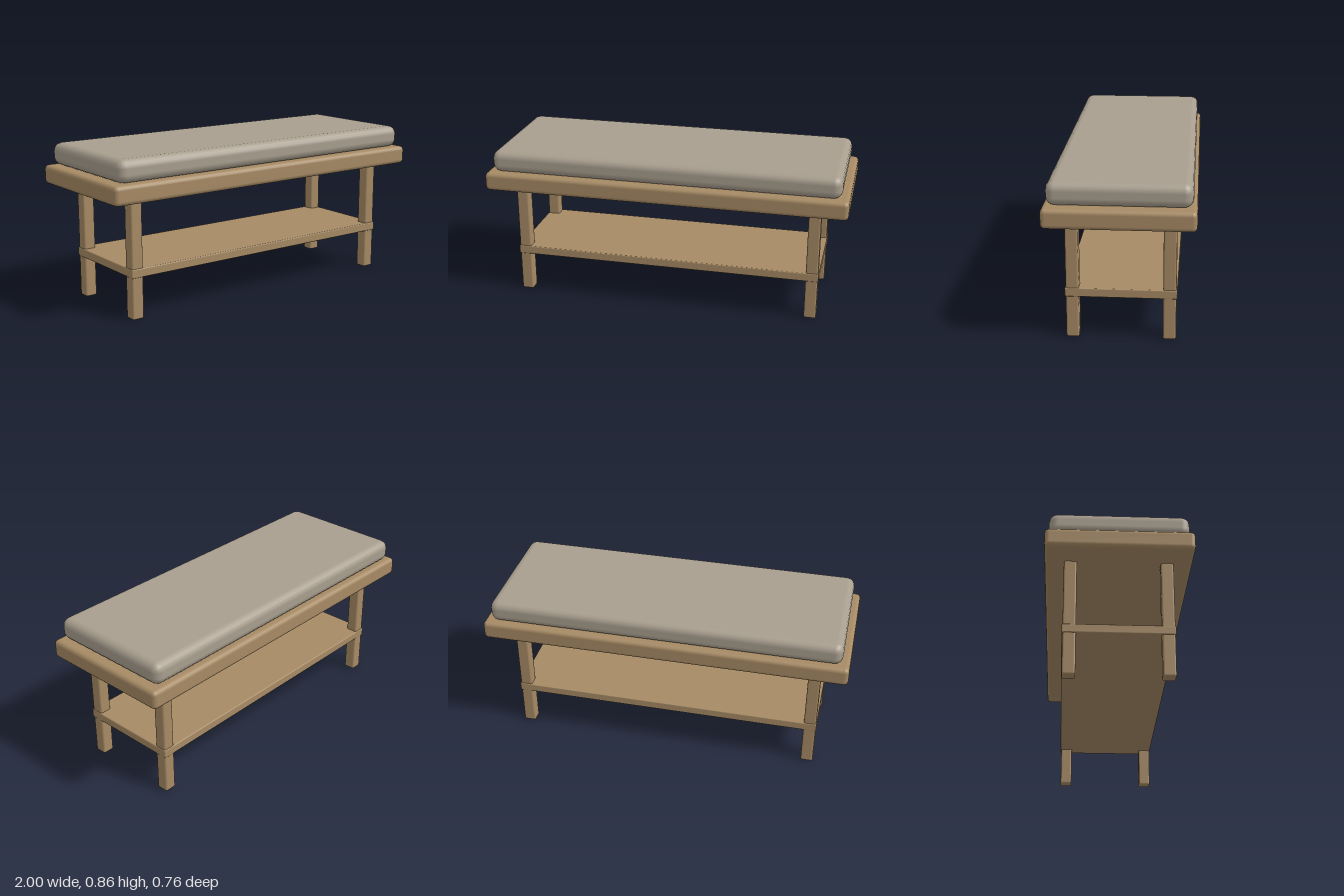
import * as THREE from 'three';
import { RoundedBoxGeometry } from 'three/addons/geometries/RoundedBoxGeometry.js';

export function createModel() {
  const bench = new THREE.Group();
  bench.name = 'bench';
  const wood = new THREE.MeshStandardMaterial({ color: 0xa68a64 });
  const fabric = new THREE.MeshStandardMaterial({ color: 0xa89e8e });

  // Softened block given by its size, base height and centre
  function block(name, material, [w, h, d], radius, base, x = 0, z = 0) {
    const mesh = new THREE.Mesh(new RoundedBoxGeometry(w, h, d, 2, radius), material);
    mesh.name = name;
    mesh.position.set(x, base + h / 2, z);
    bench.add(mesh);
  }

  // Seat: wooden slab with a padded cushion on top
  block('seatSlab', wood, [2, 0.103, 0.76], 0.024, 0.635);
  block('cushion', fabric, [1.92, 0.122, 0.72], 0.045, 0.738);

  // Lower shelf, wrapping just around the legs
  block('shelf', wood, [1.716, 0.048, 0.57], 0.006, 0.225);

  // Four square legs
  for (const x of [-1, 1]) {
    for (const z of [-1, 1]) {
      const name = (z > 0 ? 'front' : 'back') + (x > 0 ? 'Left' : 'Right') + 'Leg';
      block(name, wood, [0.067, 0.635, 0.067], 0.01, 0, x * 0.821, z * 0.247);
    }
  }
  return bench;
}
